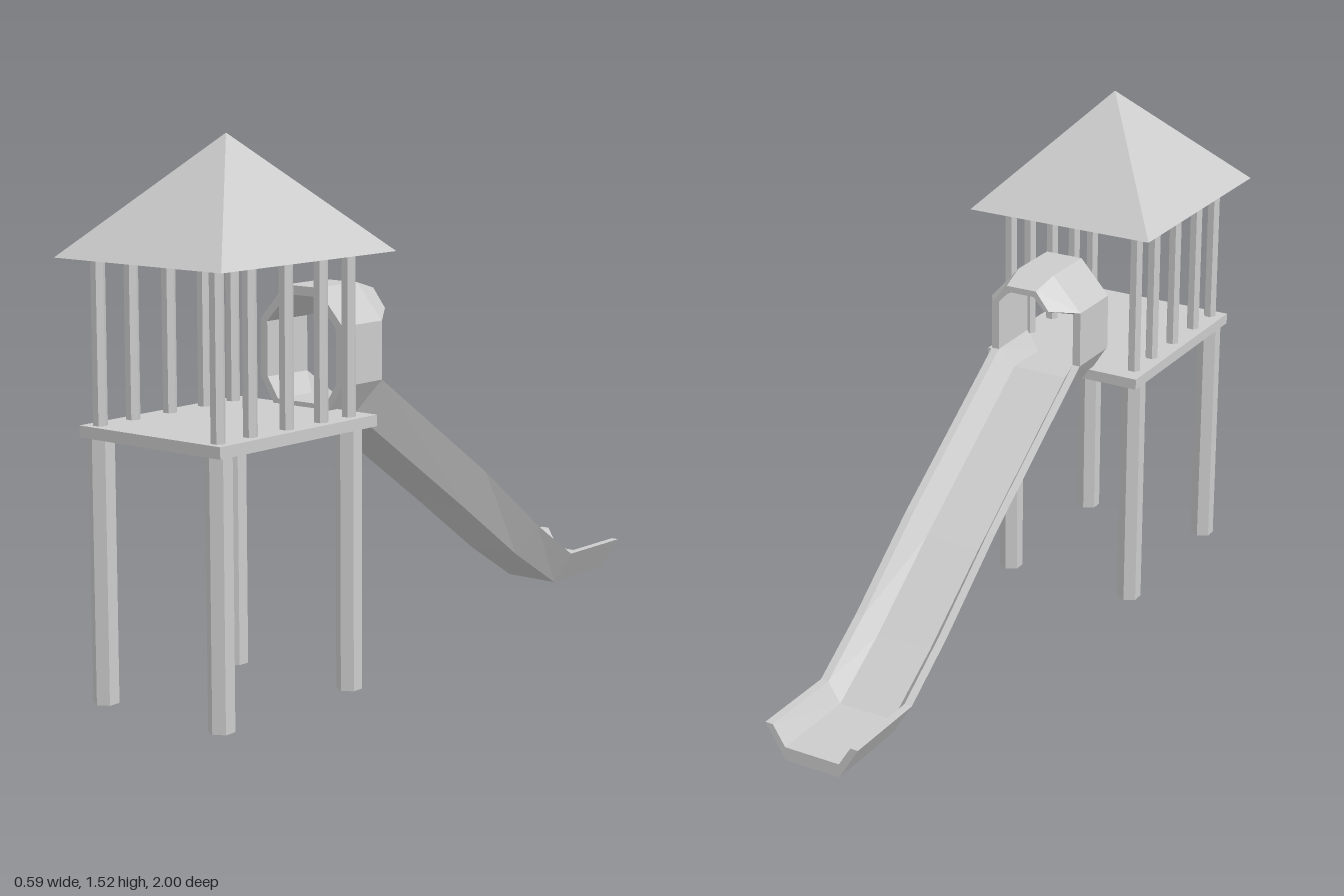
import * as THREE from 'three';

const material = new THREE.MeshStandardMaterial({ color: 0xcccccc, flatShading: true, side: THREE.DoubleSide });

function add(group, name, geometry, x = 0, y = 0, z = 0) {
  const mesh = new THREE.Mesh(geometry, material);
  mesh.name = name;
  mesh.position.set(x, y, z);
  group.add(mesh);
  return mesh;
}

// Closed solid through rings of [x, y, z], each counter-clockwise seen from +z, running towards -z
function loft(rings) {
  const pos = [];
  const tri = (...pts) => pts.forEach((p) => pos.push(...p));
  const n = rings[0].length;
  for (let r = 0; r < rings.length - 1; r++) {
    const a = rings[r], b = rings[r + 1];
    for (let i = 0; i < n; i++) {
      const j = (i + 1) % n;
      tri(a[i], b[i], a[j]);
      tri(a[j], b[i], b[j]);
    }
  }
  const cap = (ring, flip) => {
    const flat = ring.map(([x, y]) => new THREE.Vector2(x, y));
    for (const [a, b, c] of THREE.ShapeUtils.triangulateShape(flat, [])) {
      if (flip) tri(ring[c], ring[b], ring[a]);
      else tri(ring[a], ring[b], ring[c]);
    }
  };
  cap(rings[0], false);
  cap(rings[rings.length - 1], true);
  const geometry = new THREE.BufferGeometry();
  geometry.setAttribute('position', new THREE.Float32BufferAttribute(pos, 3));
  geometry.computeVertexNormals();
  return geometry;
}

// Mirrored arch section: right-hand outer and inner points, both from the foot upwards
function arch(outer, inner, z) {
  const mirror = (pts) => pts.map(([x, y]) => [-x, y]);
  const ring = [...outer, ...mirror(outer).reverse(), ...mirror(inner), ...[...inner].reverse()];
  return ring.map(([x, y]) => [x, y, z]);
}

export function createModel() {
  const model = new THREE.Group();
  model.name = 'playTower';
  const centreZ = 0.653;

  // Platform
  add(model, 'platform', new THREE.BoxGeometry(0.504, 0.032, 0.624), 0.002, 0.74, centreZ);

  // Four hexagonal legs
  const leg = new THREE.CylinderGeometry(0.036, 0.036, 0.73, 6);
  for (const x of [-0.208, 0.212]) {
    for (const z of [0.925, 0.41]) add(model, 'leg', leg, x, 0.365, z);
  }

  // Railing bars along both sides, reaching up to the roof
  const bar = new THREE.CylinderGeometry(0.02, 0.02, 0.46, 6).rotateY(Math.PI / 6);
  for (const x of [-0.208, 0.213]) {
    for (const z of [0.928, 0.806, 0.664, 0.525, 0.41]) add(model, 'railingBar', bar, x, 0.98, z);
  }

  // Pyramid roof
  const roof = new THREE.ConeGeometry(Math.SQRT1_2, 0.32, 4, 1).rotateY(Math.PI / 4).scale(0.592, 1, 0.69);
  add(model, 'roof', roof, 0, 1.36, 0.655);

  // Slide trough: bottom and rim [z, y] at each station
  const slide = new THREE.Group();
  slide.name = 'slide';
  slide.position.x = 0.01;
  model.add(slide);
  const trough = [[-0.148, 1], [-0.086, 0], [0.086, 0], [0.148, 1],
    [0.124, 1], [0.086, 0.4], [-0.086, 0.4], [-0.124, 1]];
  const stations = [
    [0.37, 0.73, 0.37, 0.828], [0.244, 0.73, 0.2, 0.825], [-0.27, 0.374, -0.287, 0.49],
    [-0.528, 0.19, -0.555, 0.283], [-0.735, 0.063, -0.735, 0.163], [-1, 0.063, -1, 0.163],
  ];
  add(slide, 'slideTrough', loft(stations.map(([z0, y0, z1, y1]) =>
    trough.map(([x, t]) => [x, y0 + (y1 - y0) * t, z0 + (z1 - z0) * t]))));

  // Entrance tunnel over the top of the slide
  const outer = [[0.148, 0.825], [0.148, 0.99], [0.058, 1.09]];
  const inner = [[0.124, 0.825], [0.124, 0.983], [0.05, 1.064]];
  add(slide, 'tunnel', loft([arch(outer, inner, 0.37), arch(outer, inner, 0.2)]));

  // Tapering hood at the tunnel mouth
  add(slide, 'tunnelHood', loft([
    arch(outer.slice(1), inner.slice(1), 0.2),
    arch([[0.09, 1.012], [0.048, 1.066]], [[0.076, 1.01], [0.04, 1.048]], 0.115),
  ]));

  return model;
}
